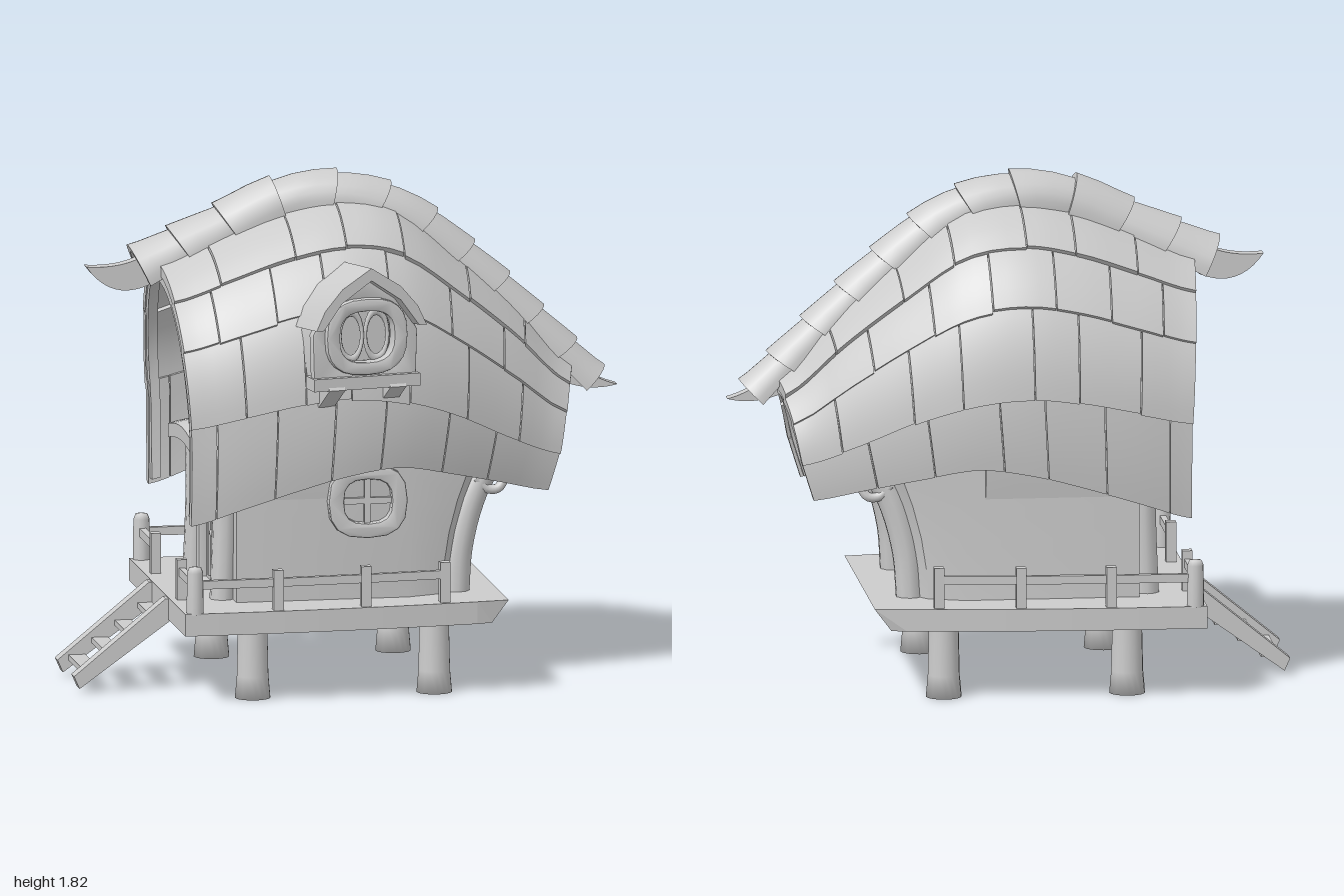
import * as THREE from 'three';
import { toCreasedNormals } from 'three/addons/utils/BufferGeometryUtils.js';

const V = (x, y, z) => new THREE.Vector3(x, y, z);
const { lerp, clamp } = THREE.MathUtils;
const mat = new THREE.MeshStandardMaterial({ color: 0xcccccc, side: THREE.DoubleSide });
let seed = 7;
const rnd = () => ((seed = (seed * 16807) % 2147483647) / 2147483647) - 0.5;

function add(parent, name, geo, x = 0, y = 0, z = 0) {
  const m = new THREE.Mesh(geo, mat);
  m.name = name;
  m.position.set(x, y, z);
  parent.add(m);
  return m;
}
const box = (p, name, w, h, d, x, y, z) => add(p, name, new THREE.BoxGeometry(w, h, d), x, y, z);

// Curved slab: u and v run over the sheet, w (0..1) through its thickness
function slab(fn, nu, nv) {
  const g = new THREE.BoxGeometry(1, 1, 1, nu, 1, nv);
  const p = g.attributes.position;
  for (let i = 0; i < p.count; i++) {
    const q = fn(p.getX(i) + 0.5, p.getZ(i) + 0.5, p.getY(i) + 0.5);
    p.setXYZ(i, q.x, q.y, q.z);
  }
  return toCreasedNormals(g, 0.6);
}
const shapeOf = pts => new THREE.Shape(pts.map(([x, y]) => new THREE.Vector2(x, y)));
const extrude = (shape, depth, bevel = 0) => toCreasedNormals(new THREE.ExtrudeGeometry(shape, {
  depth, curveSegments: 10, bevelEnabled: bevel > 0, bevelSize: bevel, bevelThickness: bevel, bevelSegments: 2 }), 0.6);
const tube = (pts, r) => new THREE.TubeGeometry(new THREE.CatmullRomCurve3(pts), 14, r, 10);

// Rounded square outline
function squircle(w, h, n = 24) {
  return Array.from({ length: n }, (_, i) => {
    const a = i / n * Math.PI * 2, c = Math.cos(a), s = Math.sin(a);
    return [w * Math.sign(c) * Math.abs(c) ** 0.75, h * Math.sign(s) * Math.abs(s) ** 0.75];
  });
}
// Arched outline standing on y = 0
function arch(w, h, rise, n = 12) {
  const pts = [[-w, 0], [w, 0]];
  for (let i = 0; i <= n; i++) {
    const a = i / n * Math.PI;
    pts.push([w * Math.cos(a), h - rise + rise * Math.sin(a)]);
  }
  return pts;
}
function frame(outer, inner, depth) {
  const s = shapeOf(outer);
  s.holes.push(shapeOf(inner));
  return extrude(s, depth, 0.008);
}

// Roof profile along its length: ridge, widest level, eave and half width
const keys = a => {
  const c = new THREE.SplineCurve(a.map((v, i) => new THREE.Vector2(i, v)));
  return u => c.getPoint(clamp(u, 0, 1)).y;
};
const ridgeY = keys([1.49, 1.57, 1.65, 1.69, 1.65, 1.48, 1.29, 1.07]);
const wideY = keys([1.0, 1.04, 1.08, 1.1, 1.07, 1.0, 0.9, 0.82]);
const eaveY = keys([0.63, 0.69, 0.75, 0.80, 0.82, 0.78, 0.73, 0.68]);
const halfW = keys([0.425, 0.45, 0.463, 0.463, 0.435, 0.37, 0.285, 0.205]);
function roofPoint(u, s, off) {
  const t = Math.abs(s), sg = Math.sign(s), k = 0.66;
  const x = lerp(-0.675, 0.84, u) + lerp(0.055 * Math.min(1, t * 1.4), -0.13 * t, u);
  const W = halfW(u) + off, yc = wideY(u);
  if (t < k) {
    const a = t / k * Math.PI / 2;
    return V(x, yc + (ridgeY(u) - yc + off) * Math.cos(a), sg * W * Math.sin(a));
  }
  const d = (t - k) / (1 - k);
  return V(x, lerp(yc, eaveY(u), d), sg * W * (1 - 0.06 * d * d));
}

function buildRoof(house) {
  const roof = new THREE.Group();
  roof.name = 'roof';
  roof.position.z = 0.006;
  house.add(roof);
  const rows = [0, 0.26, 0.43, 0.66, 1], cols = 7;
  for (const side of [1, -1]) for (let r = 0; r < 4; r++) {
    const cuts = [0];
    for (let c = 1; c < cols; c++) cuts.push((c - (r % 2 ? 0.5 : 0.1) + rnd() * 0.25) / (cols - 0.3));
    cuts.push(1);
    for (let c = 0; c < cols; c++) {
      const lift = rnd() * 0.008, drop = rnd() * 0.012, gap = 0.0015;
      const a = rows[r], b = r < 3 ? rows[r + 1] + 0.02 + drop : 1;
      add(roof, 'roofTile', slab((u, v, w) => {
        const t = side > 0 ? v : 1 - v;
        return roofPoint(lerp(cuts[c] + gap, cuts[c + 1] - gap, u), side * Math.max(1e-5, lerp(a, b, t)),
          w * 0.026 + 0.018 * t + (w ? lift : -0.012));
      }, 4, 7));
    }
  }
  // Trim boards inside both open ends
  for (const [u0, u1] of [[0.005, 0.03], [0.965, 0.99]])
    add(roof, 'gableTrim', slab((u, v, w) => roofPoint(lerp(u0, u1, u), lerp(-0.98, 0.98, v), lerp(-0.04, 0.004, w)), 1, 32));

  // Overlapping ridge caps, three before the peak and eight after it
  const path = new THREE.CatmullRomCurve3([V(-0.715, 1.465, 0), V(-0.57, 1.535, 0), V(-0.39, 1.62, 0), V(-0.2, 1.705, 0),
    V(0, 1.715, 0), V(0.2, 1.65, 0), V(0.45, 1.45, 0), V(0.7, 1.21, 0), V(0.89, 1.02, 0)]);
  const peak = 3, split = 0.285;
  for (let i = 0; i < 11; i++) {
    const before = i < peak, len = before ? split / peak : (1 - split) / 8;
    const start = before ? i * len : split + (i - peak) * len;
    // The last cap before the peak stands proud of its neighbour
    const proud = i === peak - 1 ? 0.02 : 0;
    add(roof, 'ridgeCap', slab((u, v, w) => {
      const down = before ? 1 - u : u, a = (v - 0.5) * 3.5;
      // Each lower lip reaches over the next cap, furthest along its crown
      const over = down * (0.006 + 0.01 * Math.cos(a)) * (before ? -1 : 1);
      const t = clamp(start + len * u + over, 0, 1);
      const p = path.getPointAt(t), d = path.getTangentAt(t);
      const R = lerp(0.1, 0.072, t) + 0.02 * down + proud * u - (1 - w) * 0.03;
      const up = R * (0.98 * Math.cos(a) - 0.06 * Math.abs(Math.sin(a)));
      return V(p.x - d.y * up, p.y + d.x * up, Math.sin(a) * R);
    }, 3, 12), 0, 0, -0.012);
  }

  // Curled finials
  const left = new THREE.Shape();
  left.moveTo(-0.92, 1.5);
  left.quadraticCurveTo(-0.8, 1.49, -0.72, 1.53);
  left.lineTo(-0.64, 1.5);
  left.lineTo(-0.69, 1.43);
  left.quadraticCurveTo(-0.83, 1.37, -0.92, 1.5);
  const right = new THREE.Shape();
  right.moveTo(0.995, 1.015);
  right.quadraticCurveTo(0.9, 1.04, 0.85, 1.1);
  right.lineTo(0.76, 1.1);
  right.lineTo(0.8, 1.03);
  right.quadraticCurveTo(0.9, 0.99, 0.995, 1.015);
  for (const s of [left, right]) add(roof, 'finial', extrude(s, 0.05), 0, 0, -0.03);
}

function buildDormer(house) {
  const d = new THREE.Group();
  d.name = 'dormer';
  d.position.set(0, 0, 0.63);
  d.rotation.y = 0.17;
  house.add(d);
  const body = [[-0.185, 1.16], [0.185, 1.16], [0.19, 1.33], [0.13, 1.44], [0, 1.53], [-0.13, 1.44], [-0.19, 1.33]];
  add(d, 'dormerWall', extrude(shapeOf(body), 0.24), 0, 0, -0.345);
  add(d, 'dormerFrame', frame(body, squircle(0.14, 0.13).map(([x, y]) => [x, y + 1.32]), 0.025), 0, 0, -0.1);
  // Hood, sinking slightly toward the back
  const hood = [[-0.208, 1.36], [-0.18, 1.36], [-0.11, 1.455], [0, 1.53], [0.11, 1.455], [0.18, 1.36], [0.208, 1.36],
    [0.175, 1.43], [0.11, 1.505], [0, 1.575], [-0.11, 1.505], [-0.175, 1.43]];
  const hoodGeo = extrude(shapeOf(hood), 0.33);
  const p = hoodGeo.attributes.position;
  for (let i = 0; i < p.count; i++) p.setY(i, p.getY(i) - 0.09 * (0.33 - p.getZ(i)));
  add(d, 'dormerRoof', hoodGeo, 0, 0, -0.33);
  add(d, 'dormerWindowRing', frame(squircle(0.145, 0.13), squircle(0.11, 0.1), 0.04), 0, 1.32, -0.09);
  for (const s of [-1, 1]) {
    const m = add(d, 'dormerMuntin', new THREE.TorusGeometry(0.05, 0.009, 6, 20), s * 0.048, 1.32, -0.085);
    m.scale.set(0.85, 1.7, 1);
    const b = box(d, 'dormerBracket', 0.06, 0.05, 0.14, s * 0.115, 1.115, -0.11);
    b.rotation.x = -0.6;
  }
  box(d, 'dormerSill', 0.4, 0.045, 0.09, 0, 1.155, -0.09);
}

function buildWalls(house) {
  // Lower walls narrow toward the rounded end, which leans outward as it rises
  const plan = [[-0.44, -0.365], [0.18, -0.365], [0.31, -0.32], [0.37, -0.24], [0.37, 0.24], [0.31, 0.32], [0.18, 0.365], [-0.44, 0.365]];
  const lower = new THREE.ExtrudeGeometry(shapeOf(plan), { depth: 0.7, steps: 6, bevelEnabled: false }).rotateX(Math.PI / 2).translate(0, 1.02, 0);
  const p = lower.attributes.position;
  for (let i = 0; i < p.count; i++) if (p.getX(i) > 0.25) p.setX(i, p.getX(i) + 0.45 * (p.getY(i) - 0.32) ** 2);
  add(house, 'lowerWall', toCreasedNormals(lower, 0.4));
  const upper = Array.from({ length: 25 }, (_, i) => [0.4 * Math.cos(i / 24 * Math.PI), 0.97 + 0.53 * Math.sin(i / 24 * Math.PI)]);
  add(house, 'gableWall', extrude(shapeOf([[-0.365, 0.7], [0.365, 0.7], ...upper]), 0.55).rotateY(-Math.PI / 2), 0.11, 0, 0);

  // Round side window
  const win = new THREE.Group();
  win.name = 'sideWindow';
  win.position.set(0.03, 0.69, 0.36);
  house.add(win);
  add(win, 'windowRing', frame(squircle(0.135, 0.125, 16), squircle(0.095, 0.088, 16), 0.03));
  box(win, 'windowBar', 0.022, 0.18, 0.02, 0, 0, 0.012);
  box(win, 'windowBar', 0.19, 0.022, 0.02, 0, 0, 0.012);

  // Entrance end: door, awning and gable window
  const end = new THREE.Group();
  end.name = 'entrance';
  end.position.x = -0.44;
  end.rotation.y = -Math.PI / 2;
  house.add(end);
  add(end, 'doorFrame', frame(arch(0.17, 0.47, 0.1), arch(0.13, 0.43, 0.08), 0.04), 0, 0.335, 0);
  add(end, 'door', extrude(shapeOf(arch(0.13, 0.43, 0.08)), 0.02), 0, 0.335, 0);
  add(end, 'doorWindow', new THREE.TorusGeometry(0.05, 0.014, 8, 20), 0, 0.64, 0.025);
  for (const x of [-0.045, 0.045]) box(end, 'doorGroove', 0.012, 0.2, 0.01, x, 0.46, 0.024);
  add(end, 'doorKnob', new THREE.SphereGeometry(0.016, 10, 8), 0.1, 0.54, 0.035);
  add(end, 'awning', slab((u, v, w) => V((u - 0.5) * 0.56,
    0.84 + 0.035 * Math.sin(u * Math.PI) - 0.02 * v * v + w * 0.05, v * 0.13), 12, 4));
  add(end, 'gableWindowFrame', frame(arch(0.14, 0.34, 0.14), arch(0.1, 0.29, 0.1), 0.03), 0, 0.98, 0);
  box(end, 'gableWindowBar', 0.02, 0.3, 0.02, 0, 1.12, 0.015);
  box(end, 'gableWindowBar', 0.2, 0.02, 0.02, 0, 1.12, 0.015);
  box(end, 'gableSill', 0.5, 0.035, 0.06, 0, 0.975, 0.02);

  // Corner posts and curled brackets
  for (const s of [-1, 1]) {
    add(house, 'entrancePost', tube([V(-0.475, 0.32, s * 0.27), V(-0.465, 0.6, s * 0.265), V(-0.465, 0.86, s * 0.265)], 0.045));
    add(house, 'leaningPost', tube([V(0.37, 0.32, s * 0.255), V(0.385, 0.5, s * 0.25), V(0.44, 0.69, s * 0.242), V(0.55, 0.88, s * 0.225)], 0.049));
    add(house, 'curledBracket', tube([V(0.44, 0.74, s * 0.27), V(0.48, 0.7, s * 0.27), V(0.52, 0.7, s * 0.27), V(0.55, 0.74, s * 0.26)], 0.017));
  }
  add(house, 'lintel', slab((u, v, w) => V(0.48 + u * 0.1, 0.785 + 0.012 * Math.cos((v - 0.5) * 9) + w * 0.075, (v - 0.5) * 0.46), 1, 14));
}

function buildDeck(house) {
  const plan = new THREE.Shape();
  plan.moveTo(-0.66, -0.56);
  plan.quadraticCurveTo(-0.05, -0.57, 0.52, -0.485);
  plan.lineTo(0.52, 0.485);
  plan.quadraticCurveTo(-0.05, 0.57, -0.66, 0.56);
  const g = extrude(plan, 0.08).rotateX(Math.PI / 2).translate(0, 0.335, 0);
  const p = g.attributes.position;
  for (let i = 0; i < p.count; i++) if (p.getX(i) > 0.5 && p.getY(i) < 0.3) p.setX(i, 0.46);
  g.computeVertexNormals();
  add(house, 'deck', g);

  const lathe = (pts, n) => new THREE.LatheGeometry(pts.map(q => new THREE.Vector2(...q)), n);
  const leg = lathe([[0, 0], [0.064, 0], [0.057, 0.08], [0.053, 0.26]], 16);
  for (const x of [-0.39, 0.265]) for (const s of [-1, 1]) add(house, 'stiltLeg', leg, x, 0, s * 0.41);

  // Railings along both sides and beside the steps
  const corner = lathe([[0.031, 0], [0.029, 0.15], [0.022, 0.168], [0, 0.172]], 12);
  const beam = (a, b) => {
    const m = box(house, 'rail', 0.022, 0.03, a.distanceTo(b), 0, 0, 0);
    m.position.copy(a).add(b).multiplyScalar(0.5);
    m.rotation.y = Math.atan2(b.x - a.x, b.z - a.z);
  };
  for (const s of [-1, 1]) {
    const spots = [[-0.62, 0.535], [-0.32, 0.53], [0, 0.51], [0.29, 0.48]];
    spots.slice(1).forEach(([x, z], i) => {
      box(house, 'railPost', 0.036, 0.15, 0.036, x, 0.405, s * z);
      beam(V(spots[i][0], 0.435, s * spots[i][1]), V(x, 0.435, s * z));
    });
    add(house, 'cornerPost', corner, -0.62, 0.33, s * 0.535);
    box(house, 'railPost', 0.036, 0.15, 0.036, -0.62, 0.405, s * 0.26);
    beam(V(-0.62, 0.435, s * 0.26), V(-0.62, 0.435, s * 0.535));
  }

  // Steps
  const stringer = shapeOf([[-0.98, 0.015], [-0.64, 0.26], [-0.64, 0.33], [-0.67, 0.33], [-1, 0.06]]);
  for (const s of [-1, 1]) add(house, 'stairStringer', extrude(stringer, 0.055), 0, 0, 0.03 + s * 0.165 - 0.0275);
  for (let i = 0; i < 4; i++) box(house, 'stairTread', 0.06, 0.02, 0.3, -0.93 + i * 0.083, 0.068 + i * 0.06, 0.03);
}

export function createModel() {
  const model = new THREE.Group();
  model.name = 'stiltHouse';
  const house = new THREE.Group();
  house.name = 'house';
  house.position.z = -0.055;
  model.add(house);
  buildDeck(house);
  buildWalls(house);
  buildRoof(house);
  buildDormer(house);
  return model;
}
